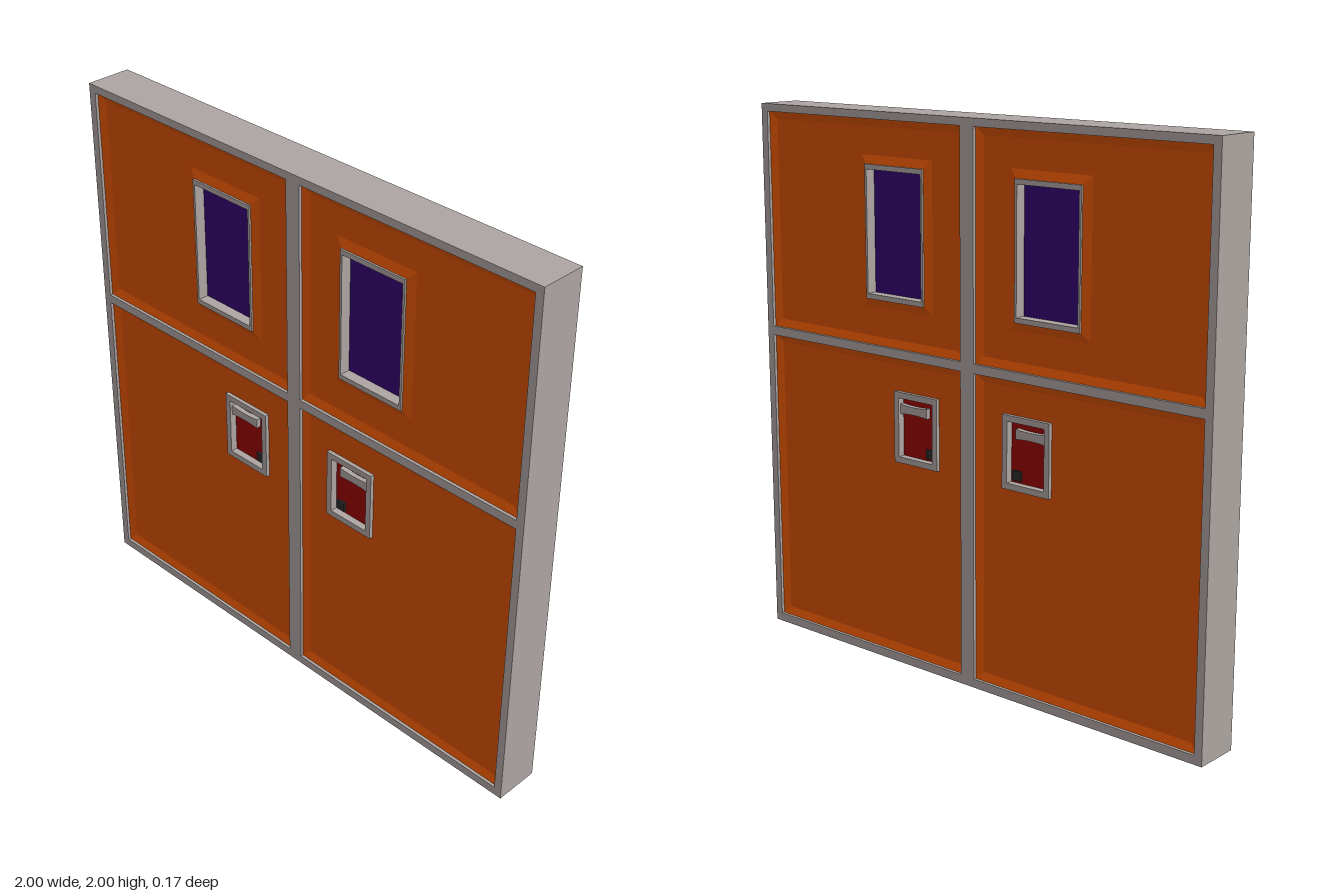
import * as THREE from 'three';

const mat = (color) => new THREE.MeshStandardMaterial({ color, flatShading: true });
const HALF = 0.085; // half the thickness of the door
const PANEL_Z = 0.062;
const SLOPE_Z = 0.074; // raised end of the sloped panel edges
const PLATE_Z = 0.05;

// Rectangle [x0, y0, x1, y1], mirrored to the chosen side
const rect = (side, x0, y0, x1, y1) => (side > 0 ? [x0, y0, x1, y1] : [-x1, y0, -x0, y1]);
const inset = ([x0, y0, x1, y1], dx, dy = dx) => [x0 + dx, y0 + dy, x1 - dx, y1 - dy];

// Nested rectangles [rect, z] joined from the outside inwards, optionally closed by a flat face
function nested(steps, closed = false) {
  const pos = [];
  const corners = ([[x0, y0, x1, y1], z]) => [[x0, y0, z], [x1, y0, z], [x1, y1, z], [x0, y1, z]];
  const quad = (a, b, c, d) => pos.push(...a, ...b, ...c, ...a, ...c, ...d);
  for (let s = 0; s < steps.length - 1; s++) {
    const a = corners(steps[s]);
    const b = corners(steps[s + 1]);
    for (let i = 0; i < 4; i++) {
      const j = (i + 1) % 4;
      quad(a[i], a[j], b[j], b[i]);
    }
  }
  if (closed) quad(...corners(steps[steps.length - 1]));
  const g = new THREE.BufferGeometry();
  g.setAttribute('position', new THREE.Float32BufferAttribute(pos, 3));
  g.computeVertexNormals();
  return g;
}

function rectPath(path, [x0, y0, x1, y1]) {
  path.moveTo(x0, y0);
  path.lineTo(x1, y0);
  path.lineTo(x1, y1);
  path.lineTo(x0, y1);
  path.closePath();
  return path;
}

export function createModel() {
  const root = new THREE.Group();
  root.name = 'doubleDoor';
  const grey = mat(0xada5a2);
  const orange = mat(0xd65000);
  const purple = mat(0x340070);
  const red = mat(0x980000);
  const dark = mat(0x2c2a2a);

  const add = (parent, name, geometry, material) => {
    const m = new THREE.Mesh(geometry, material);
    m.name = name;
    parent.add(m);
    return m;
  };

  const upper = (s) => rect(s, 0.03, 1.175, 0.97, 1.972);
  const lower = (s) => rect(s, 0.03, 0.032, 0.97, 1.142);

  // Frame with four openings running through the full thickness
  const outline = rectPath(new THREE.Shape(), [-1, 0, 1, 2]);
  for (const s of [-1, 1]) {
    for (const r of [upper(s), lower(s)]) outline.holes.push(rectPath(new THREE.Path(), r));
  }
  const frame = new THREE.ExtrudeGeometry(outline, { depth: HALF * 2, bevelEnabled: false });
  frame.translate(0, 0, -HALF);
  add(root, 'frame', frame, grey);

  // One face of the door: panels, windows and keypads
  function face() {
    const g = new THREE.Group();
    for (const s of [-1, 1]) {
      const leaf = new THREE.Group();
      leaf.name = s > 0 ? 'leftLeaf' : 'rightLeaf';
      g.add(leaf);

      // Shallow panels with sloped edges, open behind the window and keypad
      const win = rect(s, 0.206, 1.34, 0.48, 1.815);
      const pad = rect(s, 0.15, 0.76, 0.355, 1.02);
      const up = upper(s);
      const low = lower(s);
      add(leaf, 'upperPanel', nested([
        [up, SLOPE_Z], [inset(up, 0.028), PANEL_Z],
        [inset(win, -0.03), PANEL_Z], [win, SLOPE_Z],
      ]), orange);
      add(leaf, 'lowerPanel', nested([
        [low, SLOPE_Z], [inset(low, 0.028), PANEL_Z], [pad, PANEL_Z],
      ]), orange);

      // Window rim and recessed glass
      const pane = inset(win, 0.009, 0.018);
      add(leaf, 'windowRim', nested([[win, SLOPE_Z], [win, 0.081], [pane, 0.081], [pane, 0.042]]), grey);
      add(leaf, 'windowGlass', nested([[pane, 0.042]], true), purple);

      // Keypad: raised rim, red plate, pinched handle and dark button
      const plate = inset(pad, 0.022);
      add(leaf, 'keypadRim', nested([
        [pad, PANEL_Z], [pad, 0.076], [plate, 0.076], [plate, PLATE_Z],
      ]), grey);
      add(leaf, 'keypadPlate', nested([[plate, PLATE_Z]], true), red);

      const bar = new THREE.Shape();
      bar.moveTo(-0.064, -0.018);
      bar.quadraticCurveTo(0, -0.01, 0.064, -0.018);
      bar.lineTo(0.064, 0.018);
      bar.quadraticCurveTo(0, 0.01, -0.064, 0.018);
      bar.closePath();
      const handle = new THREE.ExtrudeGeometry(bar, { depth: 0.018, bevelEnabled: false, curveSegments: 6 });
      add(leaf, 'keypadHandle', handle, grey).position.set(s * 0.268, 0.957, PLATE_Z);

      const button = new THREE.BoxGeometry(0.036, 0.034, 0.01);
      add(leaf, 'keypadButton', button, dark).position.set(s * 0.2, 0.808, PLATE_Z + 0.004);
    }
    return g;
  }

  // Both sides of the door are alike
  const front = face();
  front.name = 'frontFace';
  const back = face();
  back.name = 'backFace';
  back.rotation.y = Math.PI;
  root.add(front, back);
  return root;
}
